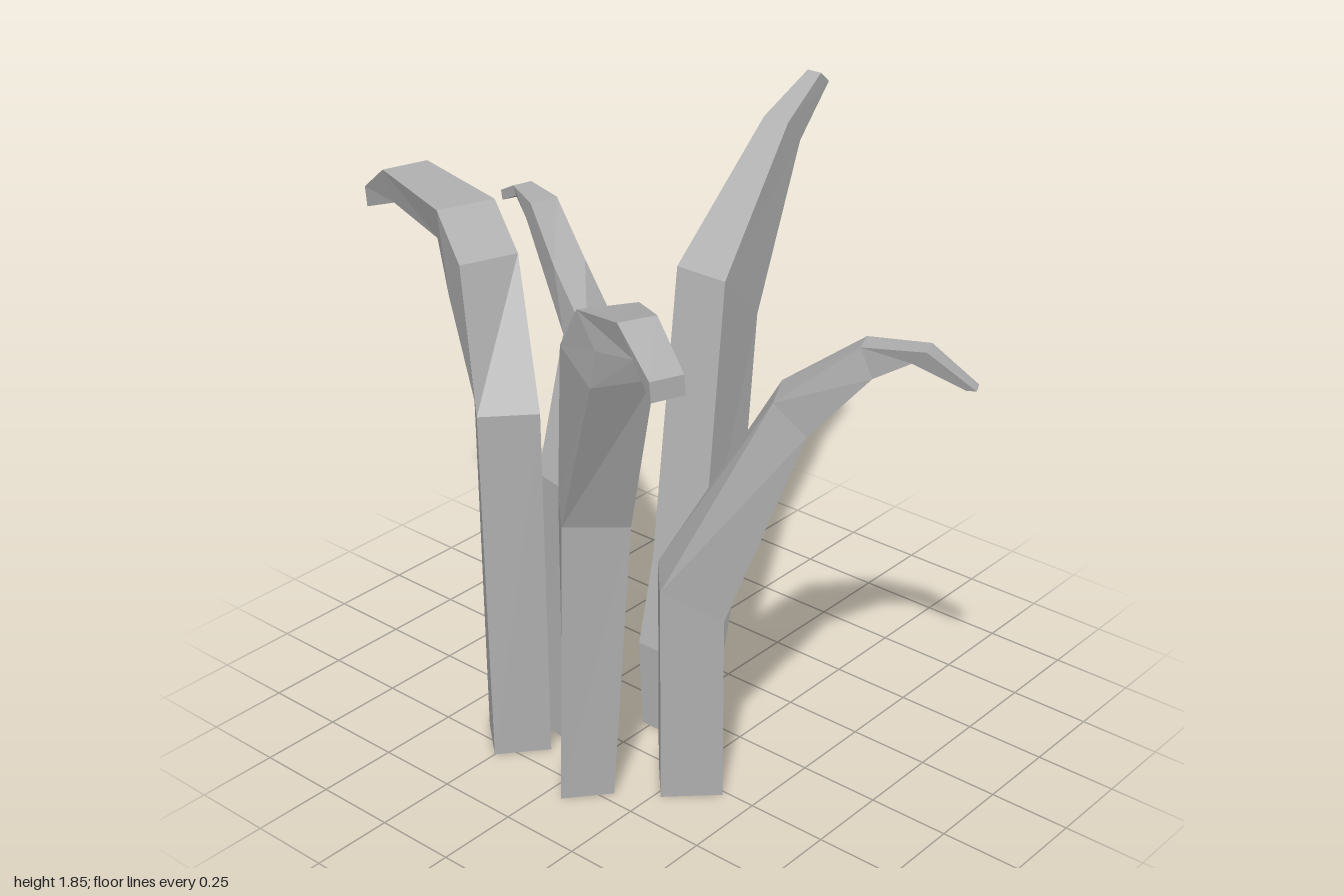
import * as THREE from 'three';

const grey = new THREE.MeshStandardMaterial({ color: 0xb0b0b0, flatShading: true });
grey.name = 'grey';

// Each section: midpoint of upper edge, midpoint of lower edge, vector from left to right edge.
const stalks = {
  rightStalk: [
    [[-0.13, 0, 0.06], [0.03, 0, 0.06], [0, 0, 0.18]],
    [[-0.13, 0.28, 0.055], [0.03, 0.2, 0.055], [0, 0, 0.19]],
    [[-0.06, 0.54, 0.05], [0.1, 0.46, 0.05], [0, 0, 0.19]],
    [[0.14, 1.4, -0.03], [0.29, 1.25, -0.03], [0, 0, 0.18]],
    [[0.54, 1.75, -0.08], [0.6, 1.68, -0.08], [0, 0, 0.09]],
    [[0.74, 1.845, -0.095], [0.78, 1.81, -0.095], [0, 0, 0.05]],
  ],
  frontStalk: [
    [[-0.325, 0, 0.21], [-0.2, 0, 0.34], [-0.13, 0, 0.12]],
    [[-0.325, 0.69, 0.21], [-0.2, 0.59, 0.34], [-0.13, 0, 0.12]],
    [[-0.115, 1.27, 0.455], [-0.065, 1.175, 0.535], [-0.13, 0, 0.07]],
    [[-0.025, 1.45, 0.67], [-0.015, 1.365, 0.705], [-0.07, 0, 0.03]],
    [[0.01, 1.475, 0.855], [0.01, 1.43, 0.81], [-0.06, 0, 0.025]],
    [[0.05, 1.385, 0.985], [0.045, 1.38, 0.955], [-0.04, 0, 0.02]],
  ],
  frontLeftStalk: [
    [[-0.4, 0, 0], [-0.525, 0, 0.105], [-0.12, 0, -0.1]],
    [[-0.385, 0.9, 0.015], [-0.505, 0.9, 0.14], [-0.15, 0.02, -0.12]],
    [[-0.52, 1.47, 0.15], [-0.58, 1.415, 0.31], [-0.15, 0, -0.09]],
    [[-0.56, 1.61, 0.245], [-0.59, 1.53, 0.335], [-0.14, 0, -0.09]],
    [[-0.65, 1.655, 0.425], [-0.65, 1.57, 0.48], [-0.1, 0, -0.045]],
    [[-0.735, 1.575, 0.595], [-0.735, 1.52, 0.6], [-0.09, 0, -0.035]],
  ],
  backTallStalk: [
    [[-0.485, 0, -0.195], [-0.38, 0, -0.32], [0.13, 0, 0.11]],
    [[-0.48, 1.12, -0.21], [-0.38, 1.1, -0.32], [0.13, 0, 0.12]],
    [[-0.4, 1.53, -0.345], [-0.345, 1.39, -0.45], [0.17, 0, 0.06]],
    [[-0.325, 1.63, -0.505], [-0.28, 1.52, -0.555], [0.17, 0, 0.06]],
    [[-0.25, 1.65, -0.83], [-0.235, 1.55, -0.805], [0.14, 0, 0.04]],
    [[-0.205, 1.545, -0.985], [-0.2, 1.48, -0.985], [0.11, 0, 0.03]],
  ],
  backSlimStalk: [
    [[-0.27, 0, -0.125], [-0.24, 0, -0.295], [0.17, 0, 0.03]],
    [[-0.25, 0.81, -0.12], [-0.22, 0.81, -0.265], [0.15, -0.06, 0.03]],
    [[-0.08, 1.21, -0.2], [-0.06, 1.19, -0.315], [0.13, -0.05, 0.03]],
    [[-0.06, 1.41, -0.36], [-0.03, 1.36, -0.43], [0.1, 0, 0.03]],
    [[-0.025, 1.56, -0.49], [-0.005, 1.5, -0.53], [0.09, 0, 0.02]],
    [[0.025, 1.565, -0.625], [0.025, 1.535, -0.615], [0.06, 0, 0.015]],
    [[0.04, 1.53, -0.69], [0.04, 1.5, -0.685], [0.06, 0, 0.02]],
  ],
};

// Lofts four-sided sections into a closed, bent and tapering stalk.
function stalkGeometry(sections) {
  const positions = [];
  for (const [upper, lower, side] of sections) {
    for (const [mid, s] of [[upper, -0.5], [upper, 0.5], [lower, 0.5], [lower, -0.5]]) {
      positions.push(...mid.map((v, k) => v + side[k] * s));
    }
  }
  const index = [];
  const quad = (a, b, c, d) => index.push(a, b, c, a, c, d);
  const last = (sections.length - 1) * 4;
  for (let i = 0; i < last; i += 4) {
    for (let j = 0; j < 4; j++) {
      const n = (j + 1) % 4;
      quad(i + j, i + n, i + 4 + n, i + 4 + j);
    }
  }
  quad(3, 2, 1, 0); // foot
  quad(last, last + 1, last + 2, last + 3); // tip
  const geometry = new THREE.BufferGeometry();
  geometry.setAttribute('position', new THREE.Float32BufferAttribute(positions, 3));
  geometry.setIndex(index);
  const flat = geometry.toNonIndexed();
  flat.computeVertexNormals();
  return flat;
}

export function createModel() {
  const model = new THREE.Group();
  model.name = 'stalkCluster';
  for (const [name, sections] of Object.entries(stalks)) {
    const mesh = new THREE.Mesh(stalkGeometry(sections), grey);
    mesh.name = name;
    model.add(mesh);
  }
  return model;
}
